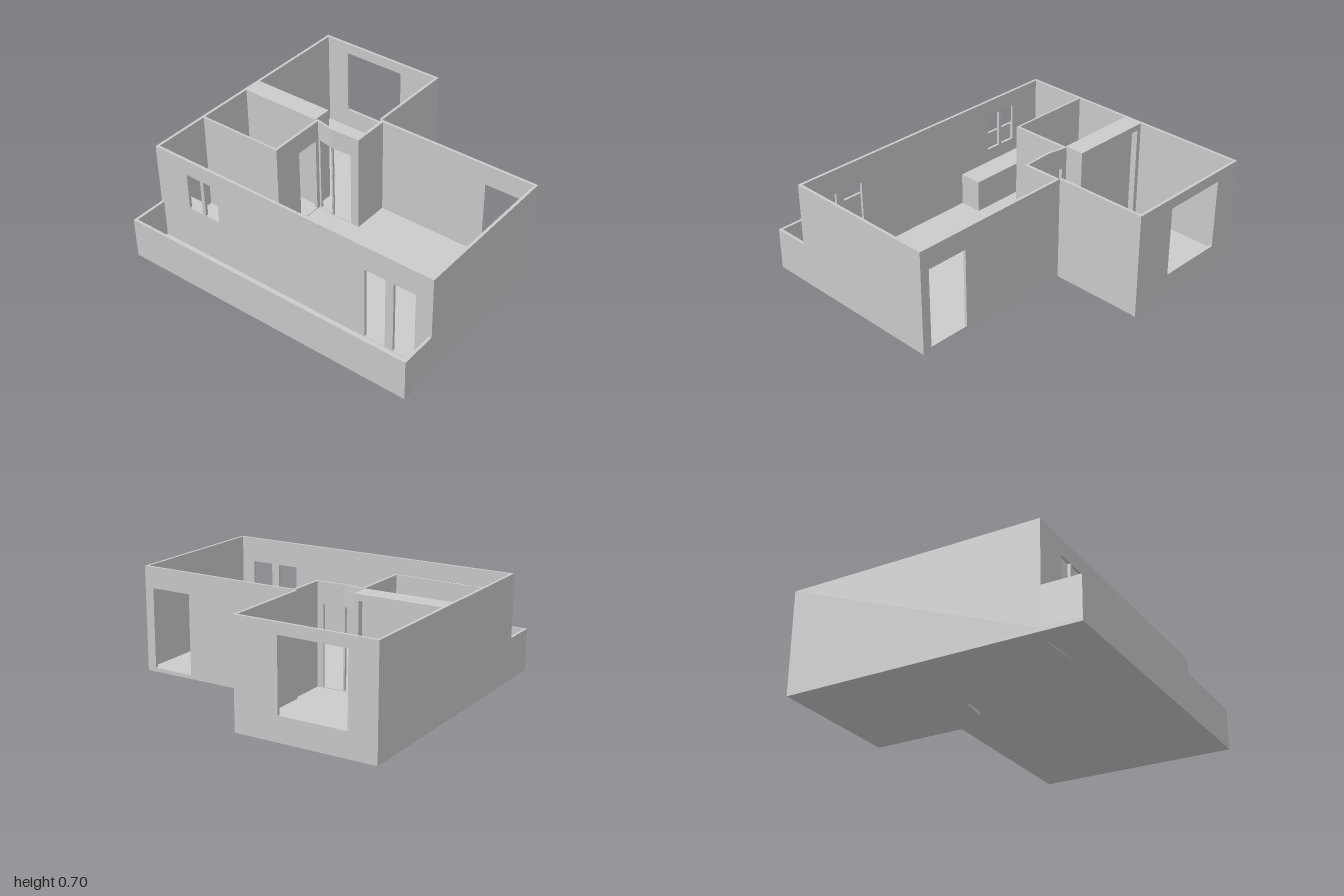
import * as THREE from 'three';
import { ConvexGeometry } from 'three/addons/geometries/ConvexGeometry.js';

const BASE = 0.03, FLOOR = 0.05, TOP = 0.705, LOW = 0.3, T = 0.018;

export function createModel() {
  const house = new THREE.Group();
  house.name = 'house';
  const mat = new THREE.MeshStandardMaterial({ color: 0xcccccc, flatShading: true });

  function add(name, geometry) {
    const mesh = new THREE.Mesh(geometry, mat);
    mesh.name = name;
    house.add(mesh);
    return mesh;
  }

  function rectPath(PathClass, u0, u1, y0, y1) {
    const p = new PathClass();
    p.moveTo(u0, y0);
    p.lineTo(u1, y0);
    p.lineTo(u1, y1);
    p.lineTo(u0, y1);
    p.closePath();
    return p;
  }

  // Upright wall centred on the line a-b (x, z); openings are [start, end, bottom, top]
  function wall(name, a, b, { thick = T, top = TOP, holes = [] } = {}) {
    const dx = b[0] - a[0], dz = b[1] - a[1];
    const shape = rectPath(THREE.Shape, 0, Math.hypot(dx, dz), FLOOR, top);
    for (const h of holes) shape.holes.push(rectPath(THREE.Path, ...h));
    const geo = new THREE.ExtrudeGeometry(shape, { depth: thick, bevelEnabled: false });
    geo.translate(0, 0, -thick / 2);
    geo.rotateY(Math.atan2(-dz, dx));
    geo.translate(a[0], 0, a[1]);
    return add(name, geo);
  }

  function box(name, x0, x1, y0, y1, z0, z1) {
    const geo = new THREE.BoxGeometry(x1 - x0, y1 - y0, z1 - z0);
    geo.translate((x0 + x1) / 2, (y0 + y1) / 2, (z0 + z1) / 2);
    return add(name, geo);
  }

  // L-shaped floor slab, terrace included
  const outline = [[-0.94, -1], [0.94, -1], [0.94, -0.1], [0.335, -0.1], [0.335, 1], [-0.94, 1]];
  const slab = new THREE.Shape(outline.map(([x, z]) => new THREE.Vector2(x, -z)));
  const slabGeo = new THREE.ExtrudeGeometry(slab, { depth: FLOOR - BASE, bevelEnabled: false });
  slabGeo.rotateX(-Math.PI / 2);
  slabGeo.translate(0, BASE, 0);
  add('floorSlab', slabGeo);

  // Outer walls
  const h = T / 2;
  wall('frontWall', [-0.7, 1 - h], [0.335, 1 - h]);
  wall('backWall', [-0.7, -1 + h], [0.94, -1 + h]);
  const z0 = -1 + T;
  wall('terraceSideWall', [-0.7 + h, z0], [-0.7 + h, 1 - T], {
    holes: [
      [-0.76, -0.655, 0.355, 0.6], [-0.63, -0.525, 0.355, 0.6], // small window pair
      [0.55, 0.69, 0.055, 0.545], [0.745, 0.89, 0.055, 0.545], // terrace door pair
    ].map(([s, e, b, t]) => [s - z0, e - z0, b, t]),
  });
  wall('entranceWall', [0.335 - h, -0.1], [0.335 - h, 1 - T], {
    holes: [[0.665 + 0.1, 0.94 + 0.1, 0.055, 0.57]],
  });
  wall('bedroomSideWall', [0.94 - h, z0], [0.94 - h, -0.1], {
    holes: [[-0.82 - z0, -0.385 - z0, 0.185, 0.635]],
  });
  wall('bedroomFrontWall', [0.335, -0.1 - h], [0.94 - T, -0.1 - h]);

  // Terrace parapet
  wall('terraceOuterParapet', [-0.94 + h, -1], [-0.94 + h, 1], { top: LOW });
  for (const [name, z] of [['terraceFrontParapet', 1 - h], ['terraceBackParapet', -1 + h]])
    wall(name, [-0.94 + T, z], [-0.7, z], { top: LOW });

  // Inner partitions
  wall('bathroomSideWall', [-0.297, z0], [-0.297, -0.402], { thick: 0.014 });
  wall('bathroomFrontWall', [-0.29, -0.411], [0.1, -0.411], {
    holes: [[0.19, 0.35, 0.055, 0.57]],
  });
  wall('bedroomInnerWall', [0.07, -0.09], [0.317, -0.09], { thick: 0.02 });
  wall('bedroomDoorWallBack', [0.096, -0.415], [0.072, -0.28], {
    thick: 0.014, holes: [[0.03, 0.13, 0.055, 0.57]],
  });
  wall('bedroomDoorWallFront', [0.072, -0.28], [0.08, -0.095], {
    thick: 0.016, holes: [[0.005, 0.14, 0.055, 0.57]],
  });

  // Full-height wardrobe with a recessed front
  box('wardrobeBody', 0.09, 0.178, FLOOR, TOP, z0, -0.425);
  wall('wardrobeFrame', [0.199, z0], [0.199, -0.425], {
    thick: 0.042, holes: [[0.03, 0.525, 0.065, 0.665]],
  });

  // Kitchen counter along the terrace side
  box('kitchenCounter', -0.7 + T, -0.53, FLOOR, 0.265, z0, -0.285);

  // Small footings showing under the slab
  const footings = {
    counterFooting: [[-0.69, 0.012, -0.82], [-0.695, BASE, -0.57], [-0.55, BASE, -0.98], [-0.69, 0.015, -0.98]],
    doorFooting: [[0.095, BASE, -0.42], [0.095, 0, -0.285], [0.102, BASE, -0.285], [0.102, 0.015, -0.41]],
  };
  for (const [name, pts] of Object.entries(footings))
    add(name, new ConvexGeometry(pts.map((p) => new THREE.Vector3(...p))));

  return house;
}
